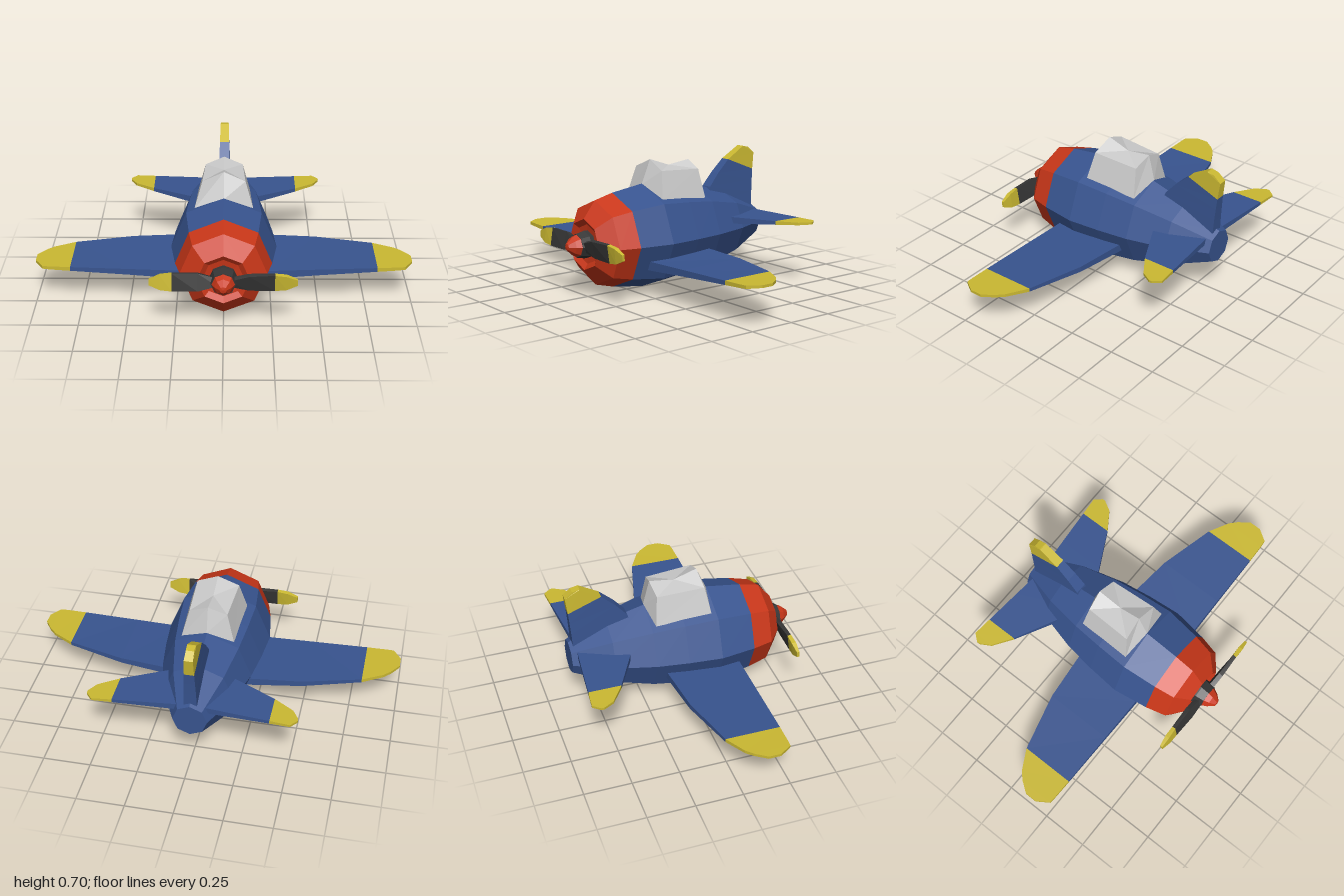
import * as THREE from 'three';

const paint = (color) => new THREE.MeshStandardMaterial({ color, flatShading: true });

// Skin closed rings of [x, y, z] points, cap both ends, and face everything outward
function loft(rings) {
  const tris = [];
  const n = rings[0].length;
  const centre = (ring) => [0, 1, 2].map((k) => ring.reduce((s, p) => s + p[k], 0) / n);
  for (let i = 0; i < rings.length - 1; i++) {
    for (let j = 0; j < n; j++) {
      const k = (j + 1) % n;
      const [a, b, c, d] = [rings[i][j], rings[i][k], rings[i + 1][k], rings[i + 1][j]];
      tris.push([a, b, c], [a, c, d]);
    }
  }
  const first = rings[0], last = rings[rings.length - 1];
  const c0 = centre(first), c1 = centre(last);
  for (let j = 0; j < n; j++) {
    const k = (j + 1) % n;
    tris.push([first[k], first[j], c0], [last[j], last[k], c1]);
  }
  // signed volume tells whether the winding must be flipped
  let volume = 0;
  for (const [a, b, c] of tris) {
    volume += new THREE.Vector3(...a).dot(new THREE.Vector3(...b).cross(new THREE.Vector3(...c)));
  }
  if (volume < 0) tris.forEach((t) => t.reverse());
  const geometry = new THREE.BufferGeometry();
  geometry.setAttribute('position', new THREE.Float32BufferAttribute(tris.flat(2), 3));
  geometry.computeVertexNormals();
  return geometry;
}

// Faceted body of revolution along z; profile is [radius, z] from back to front
function turned(profile, sides = 8) {
  const points = profile.map(([r, z]) => new THREE.Vector2(r, z));
  const geometry = new THREE.LatheGeometry(points, sides).rotateX(Math.PI / 2).toNonIndexed();
  geometry.computeVertexNormals();
  return geometry;
}

// Wing section: [x, front z, back z, bottom y front, top y front, bottom y back, top y back]
const wingRing = (side) => ([x, zf, zb, bf, tf, bb, tb]) => [
  [side * x, bf, zf], [side * x, tf, zf], [side * x, tb, zb], [side * x, bb, zb],
];

// Fin section: [front z, front y, back z, back y, half thickness]
const finRing = ([zf, yf, zb, yb, h]) => [[-h, yf, zf], [h, yf, zf], [h, yb, zb], [-h, yb, zb]];

// Blade section: [x, half height, half thickness, twist]
const bladeRing = ([x, h, t, twist]) => [[-h, -t], [h, -t], [h, t], [-h, t]].map(([y, z]) => [
  x, y * Math.cos(twist) - z * Math.sin(twist), y * Math.sin(twist) + z * Math.cos(twist),
]);

export function createModel() {
  const model = new THREE.Group();
  const blue = paint(0x38548f), red = paint(0xc83618), yellow = paint(0xcbb932);
  const dark = paint(0x363636), grey = paint(0xcccccc);
  const axisY = 0.28;

  const add = (name, geometry, material, parent = model) => {
    const mesh = new THREE.Mesh(geometry, material);
    mesh.name = name;
    parent.add(mesh);
    return mesh;
  };

  // Fuselage, cowling with recessed intake, and spinner share one axis
  const body = new THREE.Group();
  body.name = 'body';
  body.position.y = axisY;
  model.add(body);
  add('fuselage', turned([
    [0, -0.62], [0.09, -0.62], [0.185, -0.41], [0.24, -0.2], [0.264, -0.03], [0.28, 0.15], [0.252, 0.34],
  ]), blue, body);
  add('cowling', turned([
    [0.252, 0.34], [0.224, 0.45], [0.135, 0.52], [0.105, 0.5], [0, 0.49],
  ]), red, body);
  add('propellerHub', turned([[0, 0.48], [0.073, 0.48], [0.073, 0.52], [0.063, 0.567], [0, 0.567]]), dark, body);
  add('spinner', turned([[0, 0.56], [0.06, 0.565], [0.045, 0.595], [0.018, 0.625], [0, 0.628]]), red, body);

  // Two twisted blades with painted tips
  const bladeInner = [[0.03, 0.02, 0.014, 0.35], [0.13, 0.047, 0.012, 0.25], [0.26, 0.048, 0.01, 0.15]];
  const bladeTip = [bladeInner[2], [0.32, 0.04, 0.012, 0.12], [0.375, 0.016, 0.007, 0.1]];
  for (const side of [0, 1]) {
    const blade = new THREE.Group();
    blade.name = side ? 'rightBlade' : 'leftBlade';
    blade.position.z = 0.541;
    blade.rotation.z = side * Math.PI;
    add('bladeInner', loft(bladeInner.map(bladeRing)), dark, blade);
    add('bladeTip', loft(bladeTip.map(bladeRing)), yellow, blade);
    body.add(blade);
  }

  // Wings and tailplanes, mirrored
  const wing = [
    [0.1, 0.265, -0.15, 0.14, 0.19, 0.16, 0.206],
    [0.24, 0.264, -0.137, 0.148, 0.194, 0.166, 0.207],
    [0.5, 0.262, -0.11, 0.168, 0.202, 0.179, 0.209],
    [0.81, 0.26, -0.03, 0.189, 0.211, 0.193, 0.212],
  ];
  const wingTip = [
    wing[3],
    [0.92, 0.258, 0.03, 0.196, 0.214, 0.198, 0.214],
    [0.957, 0.255, 0.065, 0.199, 0.215, 0.2, 0.215],
    [1.0, 0.19, 0.125, 0.202, 0.216, 0.202, 0.216],
  ];
  const tail = [
    [0.04, -0.26, -0.585, 0.308, 0.35, 0.315, 0.35],
    [0.2, -0.34, -0.6, 0.314, 0.349, 0.322, 0.349],
    [0.405, -0.445, -0.618, 0.328, 0.348, 0.331, 0.348],
  ];
  const tailTip = [
    tail[2],
    [0.51, -0.515, -0.628, 0.333, 0.347, 0.335, 0.347],
    [0.543, -0.572, -0.588, 0.335, 0.347, 0.335, 0.347],
  ];
  for (const side of [1, -1]) {
    const label = side > 0 ? 'left' : 'right';
    const ring = wingRing(side);
    add(label + 'Wing', loft(wing.map(ring)), blue);
    add(label + 'WingTip', loft(wingTip.map(ring)), yellow);
    add(label + 'Tailplane', loft(tail.map(ring)), blue);
    add(label + 'TailplaneTip', loft(tailTip.map(ring)), yellow);
  }

  // Upright fin
  const fin = [
    [-0.27, 0.4, -0.6, 0.34, 0.036],
    [-0.3, 0.5, -0.605, 0.44, 0.032],
    [-0.36, 0.57, -0.61, 0.51, 0.029],
    [-0.435, 0.64, -0.615, 0.57, 0.026],
  ];
  const finTip = [fin[3], [-0.545, 0.705, -0.626, 0.663, 0.023], [-0.55, 0.705, -0.585, 0.697, 0.021]];
  add('fin', loft(fin.map(finRing)), blue);
  add('finTip', loft(finTip.map(finRing)), yellow);

  // Canopy: a ridged base ring following the fuselage and a ridged roof ring
  add('canopy', loft([
    [[-0.156, 0.488, 0.127], [0, 0.555, 0.148], [0.156, 0.488, 0.127],
      [0.14, 0.468, -0.175], [0, 0.526, -0.203], [-0.14, 0.468, -0.175]],
    [[-0.113, 0.637, 0.1], [0, 0.686, 0.092], [0.113, 0.637, 0.1],
      [0.1, 0.623, -0.157], [0, 0.663, -0.168], [-0.1, 0.623, -0.157]],
  ]), grey);

  return model;
}
